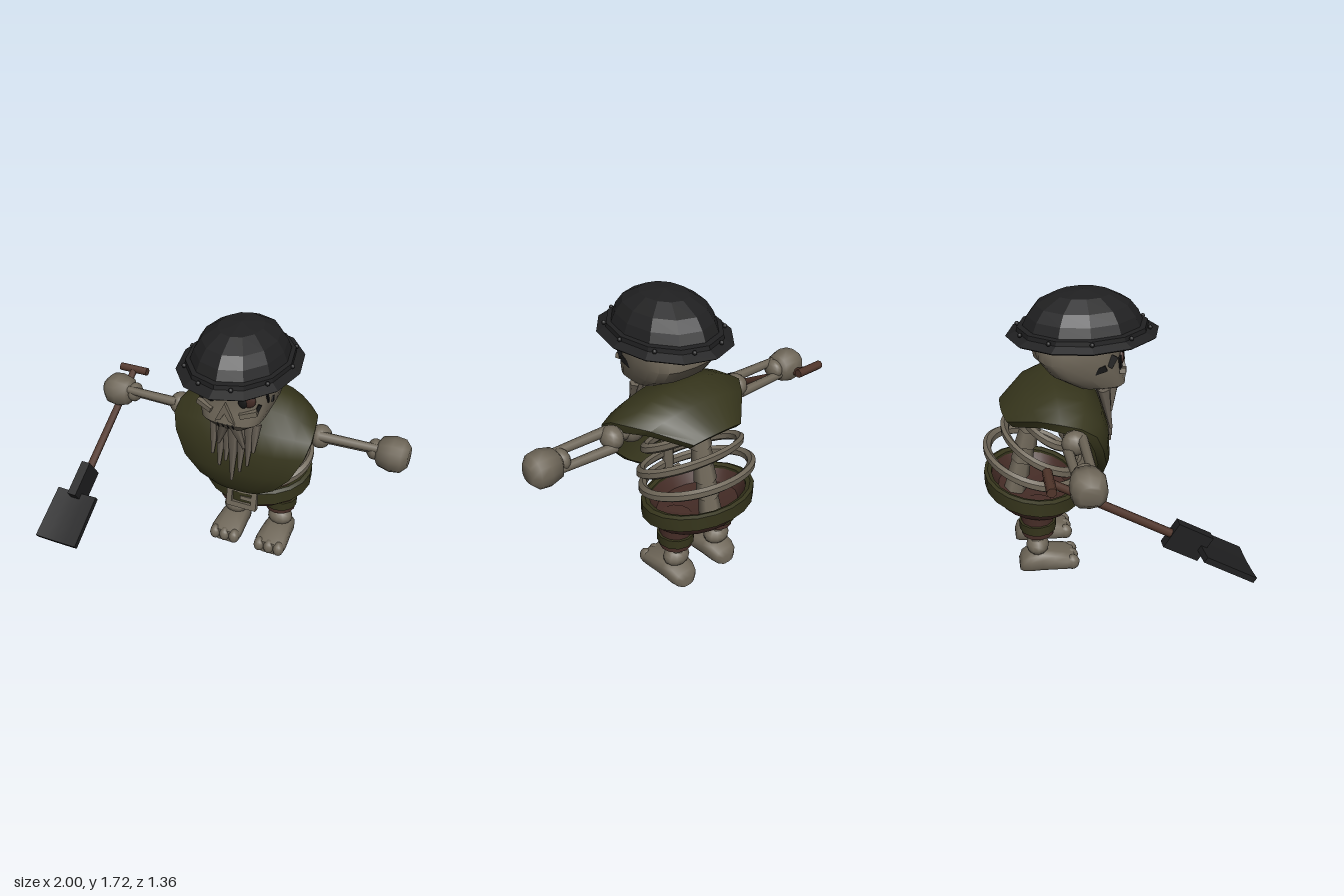
import * as THREE from 'three';
import { toCreasedNormals } from 'three/addons/utils/BufferGeometryUtils.js';

const V = (x, y, z) => new THREE.Vector3(x, y, z);
const paint = (name, color) => Object.assign(new THREE.MeshStandardMaterial({ color }), { name });

// Skin a row of closed rings (even point count) and cap both ends
function loft(rings, crease = 0.6) {
  const n = rings[0].length, last = (rings.length - 1) * n, idx = [];
  for (let i = 0; i < rings.length - 1; i++) for (let j = 0; j < n; j++) {
    const a = i * n + j, b = i * n + (j + 1) % n;
    idx.push(a, b, a + n, b, b + n, a + n);
  }
  for (let j = 0; j < n / 2 - 1; j++) {
    const [a, b, c, d] = [j, j + 1, n - 2 - j, n - 1 - j];
    idx.push(a, c, b, a, d, c);
    idx.push(last + a, last + b, last + c, last + a, last + c, last + d);
  }
  const geo = new THREE.BufferGeometry().setFromPoints(rings.flat());
  geo.setIndex(idx);
  return toCreasedNormals(geo, crease);
}

// Move every vertex by a rule
function warp(geo, rule) {
  const p = geo.attributes.position, v = V(0, 0, 0);
  for (let i = 0; i < p.count; i++) {
    rule(v.fromBufferAttribute(p, i));
    p.setXYZ(i, v.x, v.y, v.z);
  }
  return toCreasedNormals(geo, 0.6);
}

// Squared-off ellipse point
const squircle = (a, n) => [Math.cos(a), Math.sin(a)].map(c => Math.sign(c) * Math.abs(c) ** (2 / n));

export function createModel() {
  const bone = paint('bone', 0x6f6759), beardTone = paint('beard bone', 0x6a6257);
  const olive = paint('olive cloth', 0x36351c), brown = paint('brown cloth', 0x462d27);
  const wood = paint('wood', 0x50352a), iron = paint('dark iron', 0x202021), black = paint('black', 0x171717);

  const root = new THREE.Group();
  root.name = 'skeletonMiner';
  const body = new THREE.Group();
  body.name = 'body';
  body.position.x = 0.025;
  root.add(body);

  const add = (name, geo, mat, x = 0, y = 0, z = 0, parent = body) => {
    const m = new THREE.Mesh(geo, mat);
    m.name = name;
    m.position.set(x, y, z);
    parent.add(m);
    return m;
  };
  const ball = (name, mat, x, y, z, rx, ry = rx, rz = rx) => {
    const m = add(name, new THREE.SphereGeometry(1, 12, 8), mat, x, y, z);
    m.scale.set(rx, ry, rz);
    return m;
  };
  const rod = (name, mat, a, b, ra, rb = ra, sides = 8, parent = body) => {
    const m = add(name, new THREE.CylinderGeometry(rb, ra, a.distanceTo(b), sides), mat, 0, 0, 0, parent);
    m.position.copy(a).lerp(b, 0.5);
    m.quaternion.setFromUnitVectors(V(0, 1, 0), b.clone().sub(a).normalize());
    return m;
  };

  // Helmet: faceted dome with a wide brim and rivets
  const hat = [[0.6, 1.485], [0.97, 1.465], [1, 1.475], [0.86, 1.5], [0.85, 1.525], [0.78, 1.53], [0.72, 1.585],
    [0.61, 1.645], [0.36, 1.7], [0, 1.72]].map(p => new THREE.Vector2(...p));
  const helmetGeo = new THREE.LatheGeometry(hat, 12).scale(0.345, 1, 0.435);
  add('helmet', toCreasedNormals(helmetGeo, 0.15), iron, 0, 0, -0.07);
  for (let i = 0; i < 10; i++) {
    const a = (i + 0.5) * Math.PI / 5;
    ball('rivet', iron, Math.sin(a) * 0.3, 1.51, -0.07 + Math.cos(a) * 0.38, 0.013);
  }

  // Skull: rings of y, half width, front z, back z
  const skull = [[1.15, 0.09, 0.13, 0.06], [1.195, 0.18, 0.163, -0.15], [1.27, 0.212, 0.15, -0.28],
    [1.36, 0.23, 0.13, -0.345], [1.42, 0.23, 0.145, -0.345], [1.5, 0.22, 0.18, -0.32]];
  add('skull', loft(skull.map(([y, w, f, b]) => Array.from({ length: 20 }, (_, i) => {
    const [c, s] = squircle(i / 20 * Math.PI * 2, 3.1);
    return V(s * w, y, (f + b) / 2 + c * (f - b) / 2);
  }))), bone);
  const noseShape = new THREE.Shape([[-0.06, 0], [-0.025, 0.015], [0, 0.06], [0.025, 0.015], [0.06, 0], [0, 0.125]]
    .map(p => new THREE.Vector2(...p)));
  add('nose', new THREE.ExtrudeGeometry(noseShape, { depth: 0.02, bevelEnabled: false }), bone, 0, 1.21, 0.148);
  for (const s of [-1, 1]) {
    ball('eyeRim', brown, s * 0.118, 1.36, 0.118, 0.048, 0.05, 0.022);
    ball('eye', black, s * 0.095, 1.35, 0.13, 0.03, 0.042, 0.018);
    const brow = add('brow', new THREE.BoxGeometry(0.11, 0.03, 0.05), bone, s * 0.09, 1.435, 0.145);
    brow.rotation.z = s * 0.2;
    const cheek = add('cheekbone', new THREE.BoxGeometry(0.1, 0.03, 0.035), bone, s * 0.13, 1.28, 0.135);
    cheek.rotation.set(0, s * 0.25, s * 0.3);
    const temple = add('templeCrack', new THREE.BoxGeometry(0.008, 0.07, 0.04), black, s * 0.209, 1.37, 0.055);
    temple.rotation.set(0.5, s * 0.3, 0);
    const lower = add('cheekCrack', new THREE.BoxGeometry(0.008, 0.035, 0.07), black, s * 0.218, 1.325, -0.01);
    lower.rotation.set(-0.4, s * 0.2, 0);
  }
  // Chips in the face: x, y, z, width, height, lean
  for (const [x, y, z, w, h, lean] of [[-0.17, 1.345, 0.11, 0.03, 0.08, 0.3], [-0.145, 1.42, 0.127, 0.045, 0.045, -0.6],
    [0.155, 1.41, 0.125, 0.04, 0.05, 0.5], [0.04, 1.46, 0.165, 0.03, 0.04, 0.7], [0.175, 1.31, 0.105, 0.02, 0.05, -0.4]]) {
    const chip = add('faceChip', new THREE.BoxGeometry(w, h, 0.009), black, x, y, z);
    chip.rotation.set(0, x * 3, lean);
  }
  // Gaps between the teeth
  for (const x of [-0.045, -0.015, 0.015, 0.045]) {
    const gap = add('toothGap', new THREE.BoxGeometry(0.006, 0.035, 0.008), black, x, 1.183, 0.153);
    gap.rotation.x = 0.6;
  }
  rod('neck', bone, V(0, 0.95, -0.2), V(0, 1.25, -0.12), 0.06);

  // Beard: hanging shards of x, top y, tip y, radius
  for (const [x, top, tip, r] of [[-0.12, 1.16, 0.91, 0.036], [-0.075, 1.17, 0.84, 0.042], [-0.03, 1.17, 0.89, 0.042],
    [0.008, 1.18, 0.76, 0.046], [0.055, 1.17, 0.83, 0.042], [0.1, 1.17, 0.88, 0.04], [0.135, 1.15, 0.98, 0.032]]) {
    const z = 0.045 - Math.abs(x) * 0.15;
    rod('beardShard', beardTone, V(x, top, z), V(x, tip, z + 0.045), r, 0.009, 5);
  }
  for (const s of [-1, 1]) rod('moustache', beardTone, V(s * 0.03, 1.16, 0.1), V(s * 0.08, 1.0, 0.075), 0.035, 0.01, 5);

  // Cape: centre line of y, z, half width, and how far the sides fall away
  const cape = [[0.6, -0.012, 0.13, 0.01], [0.67, 0.03, 0.24, 0.03], [0.79, 0.06, 0.34, 0.055], [0.95, 0.052, 0.41, 0.08],
    [1.08, 0.01, 0.435, 0.09], [1.19, -0.09, 0.43, 0.12], [1.23, -0.26, 0.41, 0.12], [1.185, -0.42, 0.33, 0.1],
    [1.06, -0.56, 0.17, 0.04]];
  add('cape', loft(cape.map(([y, z, w, fall], i) => {
    const a = cape[Math.max(i - 1, 0)], b = cape[Math.min(i + 1, cape.length - 1)];
    const len = Math.hypot(b[0] - a[0], b[1] - a[1]), ny = -(b[1] - a[1]) / len, nz = (b[0] - a[0]) / len;
    const row = depth => Array.from({ length: 11 }, (_, k) => {
      const s = k / 5 - 1, d = fall * Math.abs(s) ** 2.8 + depth;
      return V(w * s * (1 - depth * 0.3), y - ny * d, z - nz * d);
    });
    return [...row(0), ...row(0.05).reverse()];
  }), 0.7), olive);

  // Ribs: sloped hoops of centre y, centre z, half width, half depth, slope
  for (const [y, zc, rx, rz, slope] of [[0.69, -0.375, 0.335, 0.275, 0.31], [0.785, -0.315, 0.32, 0.225, 0.48],
    [0.92, -0.28, 0.28, 0.155, 0.5]]) {
    const pts = Array.from({ length: 20 }, (_, i) => {
      const a = i / 20 * Math.PI * 2;
      return V(Math.sin(a) * rx, 0, Math.cos(a) * rz);
    });
    const hoop = new THREE.TubeGeometry(new THREE.CatmullRomCurve3(pts, true), 40, 0.026, 6, true);
    add('rib', warp(hoop, v => { v.y = v.y * 1.3 - v.z * slope; }), bone, 0, y, zc);
  }
  for (let i = 0; i < 6; i++) {
    const t = i / 5;
    rod('vertebra', bone, V(0, 0.48 + t * 0.5, -0.5 + t * 0.13), V(0, 0.59 + t * 0.5, -0.475 + t * 0.13), 0.068, 0.056, 6);
  }
  rod('breastbone', bone, V(0, 0.54, -0.12), V(0, 0.78, -0.1), 0.03, 0.04, 6);

  // Trousers and belt: lathed ovals that rise toward the back
  const oval = pts => warp(new THREE.LatheGeometry(pts.map(p => new THREE.Vector2(...p)), 20).scale(0.34, 1, 0.285),
    v => { v.y -= v.z * 0.15; });
  add('trousers', oval([[0, 0.37], [0.5, 0.375], [0.8, 0.415], [0.97, 0.5], [0.97, 0.57], [0.9, 0.57], [0.75, 0.48],
    [0, 0.44]]), brown, 0, 0, -0.385);
  const beltGeo = oval([[0.94, 0.485], [1.03, 0.49], [1.03, 0.575], [0.96, 0.585], [0.88, 0.575], [0.88, 0.5]]);
  add('belt', beltGeo, olive, 0, 0, -0.385);

  // Belt buckle
  const buckle = new THREE.Group();
  buckle.name = 'buckle';
  buckle.position.set(0.002, 0.485, -0.1);
  buckle.rotation.x = -0.22;
  body.add(buckle);
  for (const s of [-1, 1]) {
    add('buckleSide', new THREE.BoxGeometry(0.035, 0.14, 0.04), bone, s * 0.083, 0, 0, buckle);
    add('buckleBar', new THREE.BoxGeometry(0.2, 0.035, 0.04), bone, 0, s * 0.053, 0, buckle);
  }
  add('buckleTongue', new THREE.BoxGeometry(0.09, 0.025, 0.035), bone, 0.035, 0, 0, buckle);

  for (const s of [-1, 1]) {
    // Leg
    const x = s * 0.16;
    rod('trouserLeg', brown, V(x, 0.26, -0.383), V(x, 0.46, -0.383), 0.098, 0.098, 12);
    rod('legCuff', olive, V(x, 0.295, -0.383), V(x, 0.355, -0.383), 0.11, 0.112, 12);
    rod('shin', bone, V(x, 0.18, -0.39), V(x, 0.3, -0.39), 0.05, 0.04);
    ball('ankle', bone, x, 0.165, -0.39, 0.085, 0.062, 0.07);

    // Foot: sections of z, half width, height
    const foot = [[-0.505, 0.045, 0.06], [-0.485, 0.075, 0.1], [-0.44, 0.09, 0.125], [-0.37, 0.095, 0.14],
      [-0.29, 0.102, 0.125], [-0.22, 0.107, 0.108], [-0.17, 0.1, 0.09]];
    add('foot', loft(foot.map(([z, w, h]) => Array.from({ length: 12 }, (_, i) => {
      const [c, d] = squircle((i + 0.5) / 12 * Math.PI * 2, 3);
      return V(x + c * w, h / 2 + d * h / 2, z);
    })), 1), bone);
    for (const k of [-1, 0, 1]) ball('toe', bone, x + k * 0.068, 0.05, -0.185, 0.037, 0.05, 0.045);

    // Arm
    const y = 1.03, z = -0.19;
    ball('shoulder', bone, s * 0.32, y, -0.18, 0.085);
    rod('upperArm', bone, V(s * 0.12, 1.05, -0.2), V(s * 0.46, y, z), 0.05);
    ball('elbow', bone, s * 0.455, 1.02, z, 0.065, 0.07, 0.075);
    for (const k of [-1, 1])
      rod('forearmBone', bone, V(s * 0.46, 1.015 + k * 0.032, z + k * 0.04), V(s * 0.8, 1.02 + k * 0.03, z + k * 0.035), 0.03, 0.025);
    ball('wrist', bone, s * 0.775, 1.02, z, 0.045, 0.06, 0.065);
    const fist = add('fist', loft([[-0.095, 0.045], [-0.07, 0.08], [0, 0.097], [0.06, 0.09], [0.095, 0.055]].map(([dx, r]) =>
      Array.from({ length: 12 }, (_, i) => {
        const [c, d] = squircle(i / 12 * Math.PI * 2, 2.6);
        return V(dx, c * r, d * r);
      })), 0.9), bone, s * 0.88, 1.015, z);
    if (s < 0) fist.rotation.y = Math.PI;
  }

  // Shovel: its own y axis runs from the blade up to the grip
  const shovel = new THREE.Group();
  shovel.name = 'shovel';
  shovel.position.set(-0.883, 0.63, 0.33);
  shovel.quaternion.setFromUnitVectors(V(0, 1, 0), V(0, 0.52, -0.853).normalize());
  body.add(shovel);
  rod('shaft', wood, V(0, 0, 0), V(0, 0.83, 0), 0.025, 0.022, 8, shovel);
  rod('grip', wood, V(-0.095, 0.83, 0), V(0.095, 0.83, 0), 0.026, 0.026, 8, shovel);
  add('socket', new THREE.BoxGeometry(0.055, 0.22, 0.155), iron, 0, 0, 0, shovel);
  const bladeGeo = warp(new THREE.BoxGeometry(0.275, 0.325, 0.034, 4, 4, 1), v => {
    v.x *= 0.98 - v.y * 0.1;
    v.z += v.x * v.x * 0.3;
  });
  add('blade', bladeGeo, iron, -0.003, -0.235, -0.003, shovel);

  return root;
}
